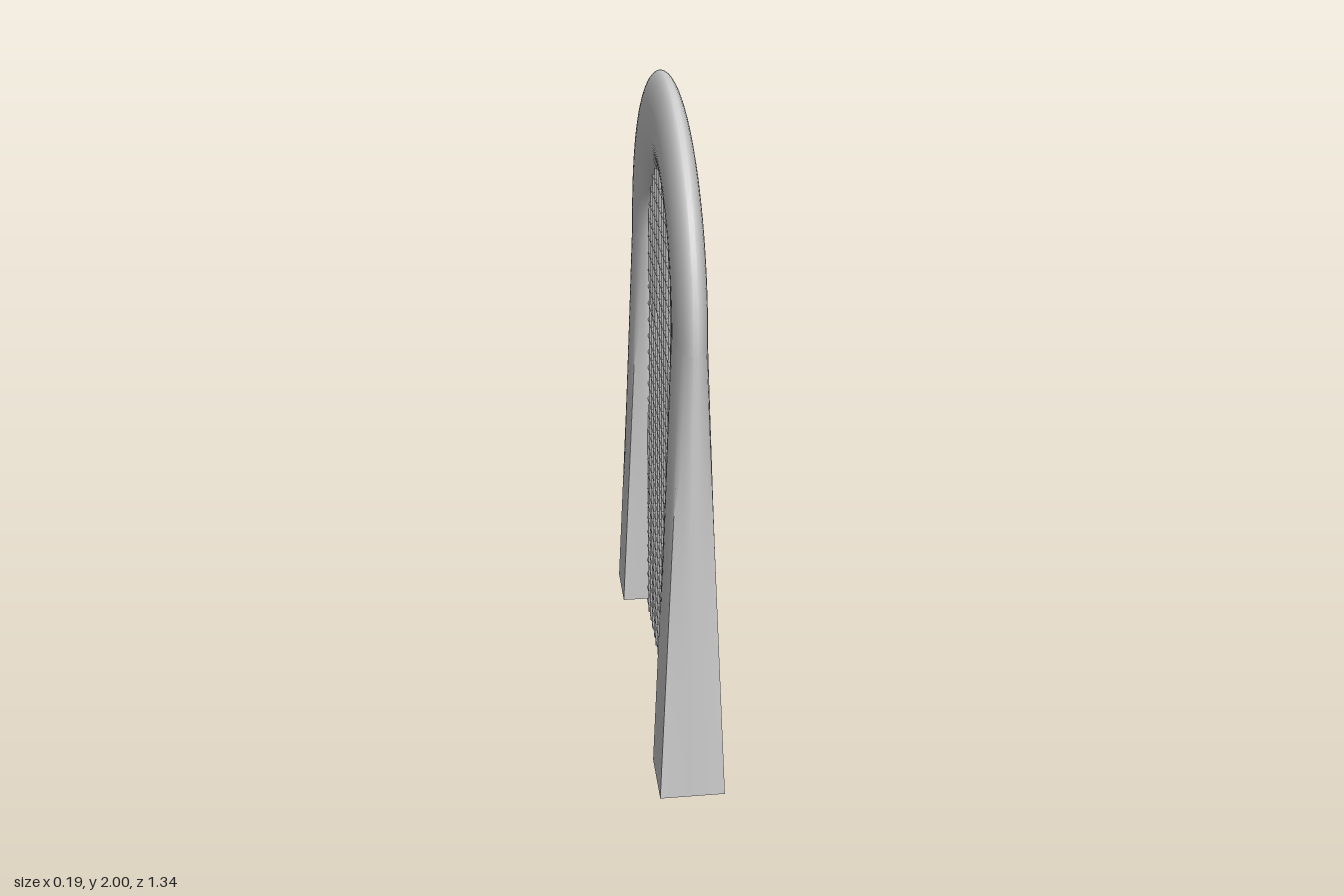
import * as THREE from 'three';
import { toCreasedNormals } from 'three/addons/utils/BufferGeometryUtils.js';

const SPRING = 1.4;   // height where the arch meets the legs
const FOOT = 0.03;    // underside of the legs
const SIDES = 40;     // points around each cross-section
const PITCH = 0.0577; // spacing of the lattice bars
const BAR = 0.01;     // bar radius

const material = new THREE.MeshStandardMaterial({ color: 0xcccccc });

// Surface through closed rings: point(angle, v) gives a position, v runs 0..1
function loft(point, steps, capStart) {
  const positions = [], index = [];
  for (let j = 0; j <= steps; j++) {
    for (let i = 0; i < SIDES; i++) {
      positions.push(...point((i / SIDES) * Math.PI * 2, j / steps));
    }
  }
  for (let j = 0; j < steps; j++) {
    for (let i = 0; i < SIDES; i++) {
      const a = j * SIDES + i, b = j * SIDES + ((i + 1) % SIDES);
      index.push(a, a + SIDES, b, b, a + SIDES, b + SIDES);
    }
  }
  if (capStart) {
    for (let i = 1; i < SIDES - 1; i++) index.push(0, i, i + 1);
  }
  const geometry = new THREE.BufferGeometry();
  geometry.setAttribute('position', new THREE.Float32BufferAttribute(positions, 3));
  geometry.setIndex(index);
  return toCreasedNormals(geometry, 0.7);
}

// Arch: flattened oval section swept over half an ellipse
function archPoint(t, v) {
  const angle = v * Math.PI;
  return [
    0.046 * Math.cos(t),
    SPRING + (0.46 + 0.14 * Math.sin(t)) * Math.sin(angle),
    (0.535 + 0.135 * Math.sin(t)) * Math.cos(angle),
  ];
}

// Leg: rectangular foot blending into the oval section of the arch
function legPoint(t, v) {
  const c = Math.cos(t), s = Math.sin(t);
  const m = Math.max(Math.abs(c), Math.abs(s));
  const mix = THREE.MathUtils.lerp;
  return [
    mix(0.095 * c / m, 0.046 * c, v),
    mix(FOOT, SPRING, v),
    mix(0.575 + 0.095 * s / m, 0.535 + 0.135 * s, v),
  ];
}

function addMesh(parent, name, geometry) {
  const mesh = new THREE.Mesh(geometry, material);
  mesh.name = name;
  parent.add(mesh);
  return mesh;
}

export function createModel() {
  const model = new THREE.Group();
  model.name = 'archedScreen';

  addMesh(model, 'arch', loft(archPoint, 64, false));

  const leg = loft(legPoint, 12, true);
  addMesh(model, 'frontLeg', leg);
  addMesh(model, 'backLeg', leg).rotation.y = Math.PI;

  // Lattice of round bars, with ends buried in the frame
  const lattice = new THREE.Group();
  lattice.name = 'lattice';
  model.add(lattice);
  const rise = 0.36, halfSpan = 0.45;

  for (let k = -8; k <= 7; k++) {
    const z = 0.02 + k * PITCH;
    const top = SPRING + rise * Math.sqrt(Math.max(0, 1 - (z / halfSpan) ** 2));
    const bar = addMesh(lattice, 'verticalBar', new THREE.CylinderGeometry(BAR, BAR, top, 8));
    bar.position.set(0, top / 2, z);
  }

  for (let y = 0.022; y < SPRING + rise - 0.02; y += PITCH) {
    const h = Math.max(0, y - SPRING) / rise;
    const half = y < SPRING ? 0.515 - 0.06 * (y / SPRING) : halfSpan * Math.sqrt(1 - h * h);
    const bar = addMesh(lattice, 'horizontalBar', new THREE.CylinderGeometry(BAR, BAR, half * 2, 8));
    bar.rotation.x = Math.PI / 2;
    bar.position.set(0, y, y < SPRING ? -0.02 : 0);
  }
  return model;
}
